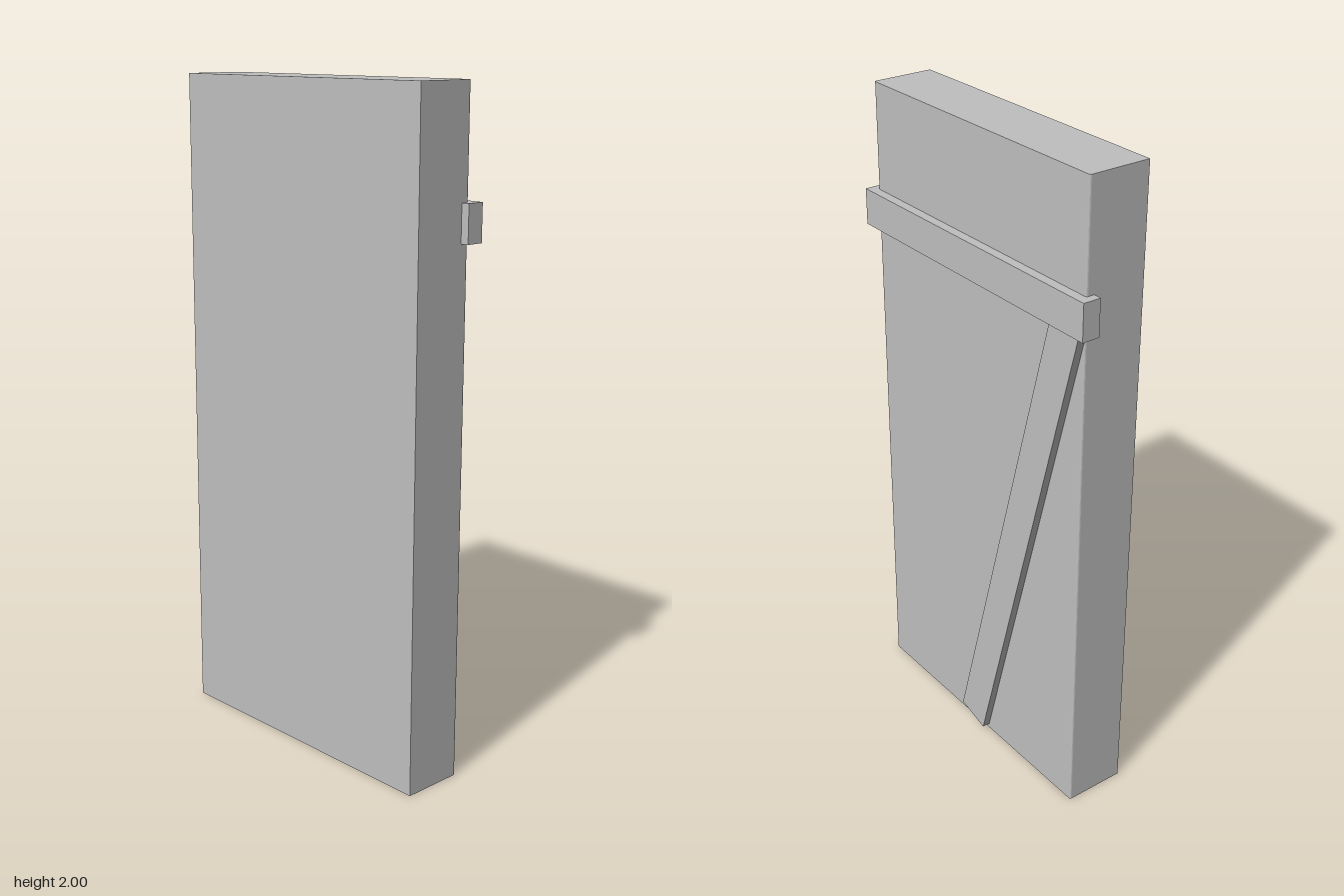
import * as THREE from 'three';

export function createModel() {
  const group = new THREE.Group();
  const grey = new THREE.MeshStandardMaterial({ color: 0xbfbfbf });
  grey.name = 'light grey';

  const add = (name, geometry, x, y, z) => {
    const mesh = new THREE.Mesh(geometry, grey);
    mesh.name = name;
    mesh.position.set(x, y, z);
    group.add(mesh);
    return mesh;
  };

  // Door slab: plan outline with eased vertical back edges, extruded upwards
  const w = 0.475, front = -0.11, back = 0.081, r = 0.007;
  const plan = new THREE.Shape();
  plan.moveTo(-w, front);
  plan.lineTo(w, front);
  plan.lineTo(w, back - r);
  plan.quadraticCurveTo(w, back, w - r, back);
  plan.lineTo(-w + r, back);
  plan.quadraticCurveTo(-w, back, -w, back - r);
  plan.closePath();
  const slab = new THREE.ExtrudeGeometry(plan, { depth: 2, bevelEnabled: false, curveSegments: 4 });
  slab.rotateX(-Math.PI / 2);
  add('doorSlab', slab, 0, 0, 0);

  // Horizontal rail across the back, overhanging both sides
  add('crossRail', new THREE.BoxGeometry(1, 0.11, 0.055), 0, 1.625, -0.0825);

  // Slanted brace, running from the rail's end down to the bottom middle
  const brace = add('diagonalBrace', new THREE.BoxGeometry(0.115, 1.635, 0.053), -0.216, 0.8185, -0.0785);
  brace.rotation.z = THREE.MathUtils.degToRad(15);

  return group;
}
